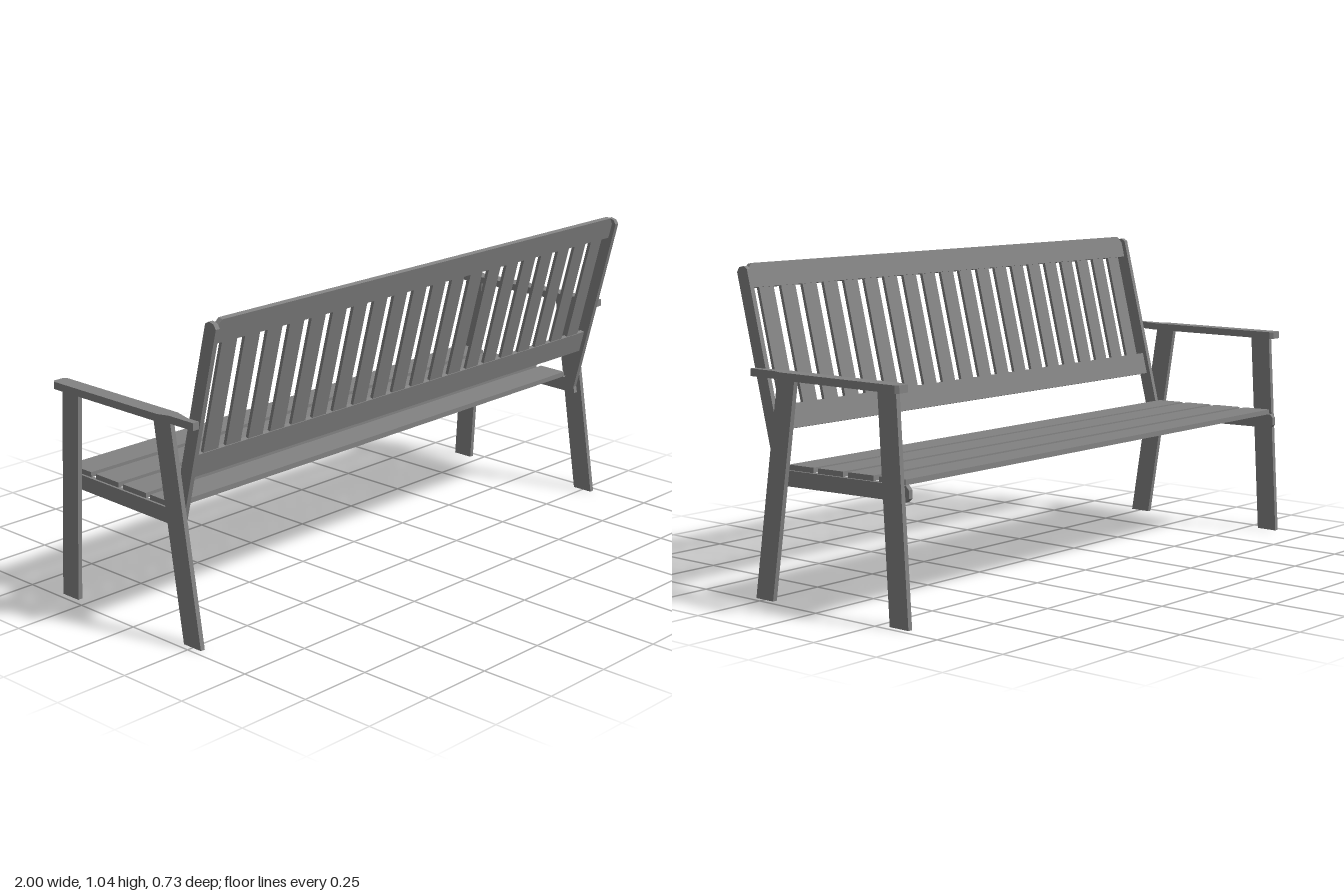
import * as THREE from 'three';

const material = new THREE.MeshStandardMaterial({ color: 0x828282, flatShading: true });

function add(parent, name, geometry) {
  const mesh = new THREE.Mesh(geometry, material);
  mesh.name = name;
  parent.add(mesh);
  return mesh;
}

function extrude(points, depth) {
  const shape = new THREE.Shape(points.map(([x, y]) => new THREE.Vector2(x, y)));
  return new THREE.ExtrudeGeometry(shape, { depth, bevelEnabled: false });
}

// Board cut from a side profile of [z, y] points, lying between x = inner and x = outer on one side
function sideBoard(points, inner, outer, side) {
  const geometry = extrude(points.map(([z, y]) => [-z, y]), outer - inner);
  return geometry.rotateY(Math.PI / 2).translate(side > 0 ? inner : -outer, 0, 0);
}

export function createModel() {
  const bench = new THREE.Group();
  bench.name = 'bench';

  // Backrest frame leans back about the lower edge of its bottom rail
  const backrest = new THREE.Group();
  backrest.name = 'backrest';
  backrest.position.set(0, 0.532, 0.218);
  backrest.rotation.x = 0.249;
  bench.add(backrest);

  for (const side of [1, -1]) {
    const label = side > 0 ? 'left' : 'right';

    // Splayed legs
    add(bench, label + 'RearLeg',
      sideBoard([[0.287, 0], [0.211, 0], [0.1, 0.702], [0.175, 0.702]], 0.963, 0.979, side));
    add(bench, label + 'FrontLeg',
      sideBoard([[-0.291, 0], [-0.367, 0], [-0.325, 0.702], [-0.25, 0.702]], 0.963, 0.979, side));

    // Seat bearer with a chamfered front end
    add(bench, label + 'SeatBearer', sideBoard([
      [0.21, 0.367], [-0.346, 0.378], [-0.358, 0.389], [-0.358, 0.415],
      [-0.346, 0.427], [0.2, 0.417],
    ], 0.947, 0.963, side));

    // Armrest, narrowed at the rear to pass outside the back post
    const plan = [
      [0.946, -0.34], [0.955, -0.35], [0.991, -0.35], [1, -0.34],
      [1, 0.14], [0.987, 0.18], [0.987, 0.285], [0.964, 0.285],
      [0.964, 0.235], [0.947, 0.175],
    ];
    const arm = extrude(plan.map(([x, z]) => [x * side, z]), 0.024);
    add(bench, label + 'Armrest', arm.rotateX(Math.PI / 2).translate(0, 0.725, 0));

    // Back post with a chamfered top
    add(backrest, label + 'BackPost', sideBoard([
      [0.023, -0.16], [0.023, 0.506], [0.01, 0.518], [-0.01, 0.518],
      [-0.023, 0.506], [-0.023, -0.15],
    ], 0.947, 0.963, side));
  }

  // Four seat boards following the gentle rise of the bearers
  [0.101, -0.026, -0.154, -0.284].forEach((z, i) => {
    const board = add(bench, 'seatBoard' + (i + 1), new THREE.BoxGeometry(1.91, 0.017, 0.107));
    board.position.set(0, 0.429 - 0.018 * z, z);
    board.rotation.x = 0.018;
  });

  // Back rails
  add(backrest, 'lowerBackRail', new THREE.BoxGeometry(1.896, 0.077, 0.016)).position.y = 0.0385;
  const rail = extrude([
    [-0.948, 0.449], [0.948, 0.449], [0.948, 0.502], [0.928, 0.526], [-0.928, 0.526], [-0.948, 0.502],
  ], 0.016);
  add(backrest, 'upperBackRail', rail.translate(0, 0, -0.008));

  // Upright slats between the rails
  const count = 20;
  for (let i = 0; i < count; i++) {
    const slat = add(backrest, 'backSlat' + (i + 1), new THREE.BoxGeometry(0.061, 0.376, 0.011));
    slat.position.set(-0.88 + (1.76 * i) / (count - 1), 0.263, 0);
  }

  return bench;
}
